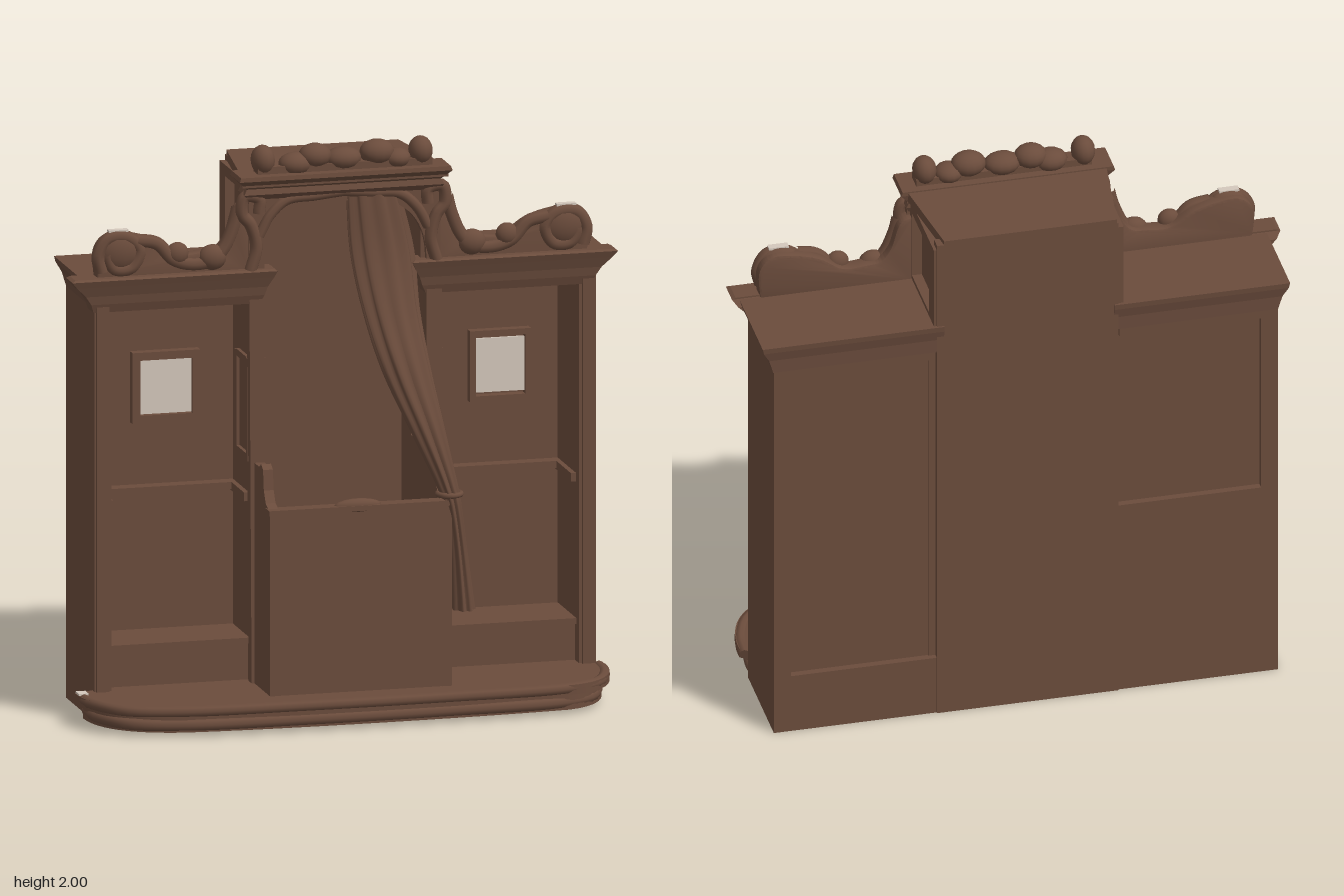
import * as THREE from 'three';
import { toCreasedNormals } from 'three/addons/utils/BufferGeometryUtils.js';

export function createModel() {
  const model = new THREE.Group();
  const wood = new THREE.MeshStandardMaterial({ color: 0x6b4c3c });
  wood.name = 'brown wood';
  const pale = new THREE.MeshStandardMaterial({ color: 0xd4c8bc });
  pale.name = 'pale pane';
  const V = (x, y, z) => new THREE.Vector3(x, y, z);

  const add = (name, geo, mat = wood) => {
    const mesh = new THREE.Mesh(geo, mat);
    mesh.name = name;
    model.add(mesh);
    return mesh;
  };
  // Box given by its limits; x limits may come in either order
  const box = (name, xa, xb, y0, y1, z0, z1, mat) =>
    add(name, new THREE.BoxGeometry(Math.abs(xb - xa), y1 - y0, z1 - z0)
      .translate((xa + xb) / 2, (y0 + y1) / 2, (z0 + z1) / 2), mat);
  const shapeOf = (pts) => new THREE.Shape(pts.map((p) => new THREE.Vector2(p[0], p[1])));
  const extrude = (shape, depth, opts = {}) =>
    new THREE.ExtrudeGeometry(shape, { depth, bevelEnabled: false, curveSegments: 16, ...opts });
  // Plan outline (x, z) raised between two heights
  const slab = (name, shape, y0, y1) =>
    add(name, toCreasedNormals(extrude(shape, y1 - y0).rotateX(Math.PI / 2).translate(0, y1, 0), 0.6));
  // Side outline (z, y) given thickness along x
  const sidePlate = (name, shape, x0, x1) =>
    add(name, extrude(shape, x1 - x0).rotateY(-Math.PI / 2).translate(x1, 0, 0));
  const tube = (name, pts, r) =>
    add(name, new THREE.TubeGeometry(new THREE.CatmullRomCurve3(pts), pts.length * 6, r, 8));
  const blob = (name, x, y, z, rx, ry, rz) =>
    add(name, new THREE.SphereGeometry(1, 14, 10).scale(rx, ry, rz).translate(x, y, z));

  // Moulding: stacked rectangles [y, x0, x1, z0, z1], closed at both ends
  const moulding = (name, rows) => {
    const pos = [];
    const quad = (a, b, c, d) => [a, b, c, a, c, d].forEach((p) => pos.push(...p));
    const rings = rows.map(([y, x0, x1, z0, z1]) => [[x0, y, z1], [x1, y, z1], [x1, y, z0], [x0, y, z0]]);
    for (let i = 0; i + 1 < rings.length; i++) {
      for (let k = 0; k < 4; k++) {
        const n = (k + 1) % 4;
        quad(rings[i][k], rings[i][n], rings[i + 1][n], rings[i + 1][k]);
      }
    }
    quad(...rings[rings.length - 1]);
    quad(...[...rings[0]].reverse());
    const g = new THREE.BufferGeometry();
    g.setAttribute('position', new THREE.Float32BufferAttribute(pos, 3));
    g.computeVertexNormals();
    add(name, g);
  };

  // Rectangular frame facing +z
  const frame = (name, x, y, w, h, t, z0, z1) => {
    const s = shapeOf([[x - w, y - h], [x + w, y - h], [x + w, y + h], [x - w, y + h]]);
    s.holes.push(shapeOf([[x - w + t, y - h + t], [x - w + t, y + h - t], [x + w - t, y + h - t], [x + w - t, y - h + t]]));
    add(name, extrude(s, z1 - z0).translate(0, 0, z0));
  };

  // Rounded platform: floor with a hollow underside and a soft rim
  const plan = (k) => {
    const s = new THREE.Shape();
    s.moveTo(-0.88 * k, -0.3).lineTo(0.88 * k, -0.3).lineTo(0.9 * k, 0.03);
    s.lineTo(0.925 * k, 0.05 * k);
    s.bezierCurveTo(0.93 * k, 0.18 * k, 0.87 * k, 0.32 * k, 0.74 * k, 0.345 * k);
    s.bezierCurveTo(0.4 * k, 0.375 * k, -0.3 * k, 0.385 * k, -0.66 * k, 0.345 * k);
    s.bezierCurveTo(-0.86 * k, 0.31 * k, -0.95 * k, 0.2 * k, -0.95 * k, 0.03);
    s.lineTo(-0.88 * k, 0.0);
    return s;
  };
  slab('platformFloor', plan(1), 0.07, 0.104);
  const skirt = plan(0.97);
  skirt.holes.push(plan(0.9));
  slab('platformSkirt', skirt, 0.015, 0.07);
  const rimPts = [[-0.93, 0.02], [-0.92, 0.14], [-0.84, 0.27], [-0.66, 0.335], [-0.2, 0.358], [0.3, 0.355],
    [0.72, 0.332], [0.84, 0.27], [0.9, 0.14], [0.91, 0.03]];
  for (const [y, r, k] of [[0.09, 0.02, 1], [0.04, 0.022, 0.97]])
    tube('platformRim', rimPts.map(([x, z]) => V(x * k, y, z * k)), r);
  box('rimChip', -0.947, -0.913, 0.103, 0.111, 0.03, 0.075, pale);

  // Two side bays
  for (const s of [-1, 1]) {
    const outer = s < 0 ? -0.88 : 0.9, jamb = s < 0 ? -0.82 : 0.84;
    const inner = s < 0 ? -0.32 : 0.35, core = s < 0 ? -0.28 : 0.3;
    const mid = (jamb + inner) / 2, wall = s < 0 ? -0.23 : -0.255;
    box('outerWall', outer, jamb, 0, 1.48, -0.35, 0.03);
    box('partition', inner, core, 0.05, 1.55, -0.33, 0.03);
    box('bayBackWall', jamb, inner, 0.08, 1.48, -0.325, wall);
    box('backPlinth', jamb, core, 0, s < 0 ? 0.74 : 0.22, -0.35, -0.3);
    box('backTopRail', jamb, inner, 1.42, 1.5, -0.35, -0.3);
    box('bayCeiling', jamb, inner, 1.44, 1.5, -0.31, 0.025);
    box('kneeler', jamb, inner, 0.1, 0.235, -0.26, -0.025);
    box('kneelerTop', jamb, inner, 0.235, 0.255, -0.26, -0.005);
    // Narrow ledge with arms running along the side walls
    box('ledge', jamb, inner, 0.74, 0.765, -0.26, wall + 0.05);
    for (const [x, d] of [[jamb, -s], [inner, s]]) box('arm', x, x + d * 0.018, 0.735, 0.765, -0.26, -0.01);
    // Front pilaster strips
    box('pilaster', outer - s * 0.005, outer - s * 0.05, 0.1, 1.46, 0.03, 0.042);
    box('innerStrip', inner, inner - s * 0.03, 0.1, 1.46, 0.03, 0.04);
    // Small window
    const wx = s < 0 ? -0.565 : 0.628;
    frame('windowFrame', wx, 1.11, s < 0 ? 0.12 : 0.108, 0.125, s < 0 ? 0.028 : 0.02, wall, wall + 0.035);
    box('windowPane', wx - 0.092, wx + 0.092, 1.015, 1.205, wall + 0.012, wall + 0.021, pale);
    // Framed grille on the partition, seen from both sides
    for (const [x, d] of [[inner, s], [core, -s]]) {
      const e = x + d * 0.012;
      for (const z of [-0.15, 0]) box('grilleStile', x, e, 0.88, 1.24, z - 0.012, z + 0.012);
      for (const y of [0.88, 1.22]) box('grilleRail', x, e, y, y + 0.024, -0.14, -0.01);
    }
    // Cornice: slim along the flank, flaring out at the front
    const row = (y, o, f, z0, z1) => {
      const a = s * o, c = s * (0.3 - f);
      return [y, Math.min(a, c), Math.max(a, c), z0, z1];
    };
    const eave = s < 0 ? 0.92 : 0.942;
    moulding('flankCornice', [row(1.45, eave - 0.04, 0, -0.35, 0), row(1.5, eave - 0.025, 0, -0.352, 0),
      row(1.535, eave - 0.005, 0, -0.36, 0), row(1.555, eave, 0, -0.362, 0)]);
    moulding('frontCornice', [row(1.44, 0.885, 0.005, -0.04, 0.035), row(1.47, 0.895, 0.02, -0.04, 0.045),
      row(1.5, 0.915, 0.03, -0.04, 0.05), row(1.535, 0.95, 0.05, -0.04, 0.062),
      row(1.557, 0.968, 0.06, -0.02, 0.07), row(1.563, 0.955, 0.05, -0.02, 0.06)]);

    // Carved crest: wavy backing, raised scrolls and knobs
    const crest = new THREE.Shape();
    crest.moveTo(s * 0.86, 1.55);
    crest.splineThru([[0.865, 1.65], [0.82, 1.7], [0.74, 1.695], [0.66, 1.67], [0.58, 1.62], [0.5, 1.62],
      [0.44, 1.63], [0.4, 1.68], [0.37, 1.77], [0.33, 1.79]].map(([x, y]) => new THREE.Vector2(s * x, y)));
    crest.lineTo(s * 0.33, 1.55);
    add('crestBacking', toCreasedNormals(extrude(crest, 0.035,
      { bevelEnabled: true, bevelThickness: 0.012, bevelSize: 0.01, bevelSegments: 2 }).translate(0, 0, -0.015), 0.7));
    tube('crestScroll', [[0.77, 1.63], [0.79, 1.66], [0.83, 1.64], [0.81, 1.59], [0.75, 1.59], [0.72, 1.65], [0.76, 1.695],
      [0.83, 1.695], [0.865, 1.64], [0.855, 1.58]].map(([x, y]) => V(s * x, y, 0.025)), 0.024);
    tube('crestWave', [[0.73, 1.685], [0.66, 1.67], [0.6, 1.61], [0.53, 1.59], [0.46, 1.6], [0.42, 1.64], [0.385, 1.72],
      [0.37, 1.78]].map(([x, y]) => V(s * x, y, 0.025)), 0.024);
    blob('crestBulb', s * 0.79, 1.65, 0.015, 0.08, 0.075, 0.04);
    blob('crestKnob', s * 0.585, 1.63, 0.025, 0.04, 0.04, 0.03);
    blob('crestKnob', s * 0.46, 1.61, 0.025, 0.05, 0.045, 0.035);
    box('crestChip', s * 0.76, s * 0.83, 1.718, 1.726, 0.008, 0.034, pale);

    // Tower side with a recessed panel
    const side = shapeOf([[-0.35, 1.5], [0.03, 1.5], [0.03, 1.86], [-0.35, 1.86]]);
    side.holes.push(shapeOf([[-0.28, 1.57], [-0.28, 1.82], [-0.03, 1.82], [-0.03, 1.57]]));
    const a = s * 0.335, b = s * 0.295;
    sidePlate('towerSideFrame', side, Math.min(a, b), Math.max(a, b));
    box('towerSidePanel', s * 0.28, s * 0.3, 1.5, 1.86, -0.33, 0.02);
    // Curled corbel under the tower cornice
    tube('corbel', [[0.33, 1.56], [0.31, 1.64], [0.33, 1.72], [0.36, 1.76], [0.35, 1.82], [0.3, 1.81], [0.3, 1.76]]
      .map(([x, y]) => V(s * x, y, 0.045)), 0.022);
    tube('archSwag', [[0.3, 1.68], [0.26, 1.75], [0.2, 1.8], [0.1, 1.81], [0, 1.82]]
      .map(([x, y]) => V(s * x, y, 0.045)), 0.018);
  }

  // Tower: back, arched front, tapering roof and cornice
  box('towerBack', -0.315, 0.325, 0, 1.88, -0.355, -0.31);
  box('centreSeat', -0.28, 0.3, 0.1, 0.45, -0.31, -0.08);
  const front = shapeOf([[-0.325, 0.1], [-0.28, 0.1], [-0.28, 1.58]]);
  front.bezierCurveTo(-0.28, 1.72, -0.2, 1.78, -0.08, 1.785).lineTo(0.1, 1.785);
  front.bezierCurveTo(0.2, 1.78, 0.29, 1.72, 0.295, 1.58);
  front.lineTo(0.295, 0.1).lineTo(0.345, 0.1).lineTo(0.345, 1.86).lineTo(-0.335, 1.86);
  add('towerArch', toCreasedNormals(extrude(front, 0.04), 0.6));
  slab('towerRoof', shapeOf([[-0.31, -0.355], [0.3, -0.355], [0.36, 0.09], [-0.37, 0.09]]), 1.86, 1.895);
  moulding('towerCornice', [[1.81, -0.34, 0.34, 0, 0.055], [1.83, -0.36, 0.35, -0.01, 0.075],
    [1.85, -0.35, 0.34, -0.01, 0.07], [1.885, -0.385, 0.37, -0.02, 0.11], [1.9, -0.38, 0.365, -0.02, 0.108]]);

  // Knobbed crest on the tower
  box('topCrestBar', -0.31, 0.31, 1.89, 1.925, 0.01, 0.07);
  for (const [x, y, rx, ry] of [[-0.285, 1.945, 0.042, 0.052], [-0.17, 1.925, 0.06, 0.04], [-0.1, 1.95, 0.058, 0.043],
    [0, 1.935, 0.065, 0.04], [0.12, 1.95, 0.062, 0.045], [0.19, 1.925, 0.05, 0.035], [0.275, 1.947, 0.042, 0.05]])
    blob('topCrestKnob', x, y, 0.038, rx, ry, 0.05);

  // Projecting half door with scooped cheeks
  const cheek = shapeOf([[0, 0.1], [0.25, 0.1], [0.25, 0.75], [0.19, 0.77], [0.165, 0.81], [0.155, 0.88], [0.13, 0.895],
    [0.1, 0.88], [0, 0.88]]);
  sidePlate('doorCheek', cheek, -0.315, -0.28);
  sidePlate('doorCheek', cheek, 0.295, 0.33);
  box('halfDoor', -0.31, 0.325, 0.1, 0.745, 0.215, 0.248);
  box('doorTopRail', -0.32, 0.335, 0.74, 0.758, 0.205, 0.258);
  blob('doorTopBoss', 0, 0.755, 0.235, 0.085, 0.025, 0.022);

  // Gathered curtain: rows of [y, x0, x1, z0, z1] with rippled folds
  const rows = [[1.82, 0.01, 0.2, 0.0, 0.06], [1.6, 0.02, 0.25, 0.01, 0.08], [1.4, 0.055, 0.26, 0.045, 0.13],
    [1.2, 0.11, 0.285, 0.09, 0.2], [1.0, 0.195, 0.32, 0.15, 0.25], [0.8, 0.285, 0.36, 0.18, 0.268],
    [0.74, 0.305, 0.37, 0.18, 0.268], [0.58, 0.33, 0.395, 0.14, 0.255], [0.36, 0.34, 0.43, 0.09, 0.25]];
  const lo = new THREE.CatmullRomCurve3(rows.map((r) => V(r[1], r[0], r[3])));
  const hi = new THREE.CatmullRomCurve3(rows.map((r) => V(r[2], r[0], r[4])));
  const curtain = new THREE.CylinderGeometry(1, 1, 1, 56, 40);
  const p = curtain.attributes.position;
  for (let i = 0; i < p.count; i++) {
    const t = 0.5 - p.getY(i), ang = Math.atan2(p.getZ(i), p.getX(i));
    const r = Math.hypot(p.getX(i), p.getZ(i)) * (0.92 + 0.09 * Math.cos(9 * ang + 2 * t));
    const l = lo.getPoint(t), h = hi.getPoint(t);
    p.setXYZ(i, (l.x + h.x) / 2 + (h.x - l.x) / 2 * r * Math.cos(ang), (l.y + h.y) / 2,
      (l.z + h.z) / 2 + (h.z - l.z) / 2 * r * Math.sin(ang));
  }
  curtain.computeVertexNormals();
  add('curtain', curtain);
  const tie = add('curtainTie', new THREE.TorusGeometry(0.04, 0.01, 8, 20).rotateX(Math.PI / 2));
  tie.position.set(0.328, 0.775, 0.224);
  return model;
}
